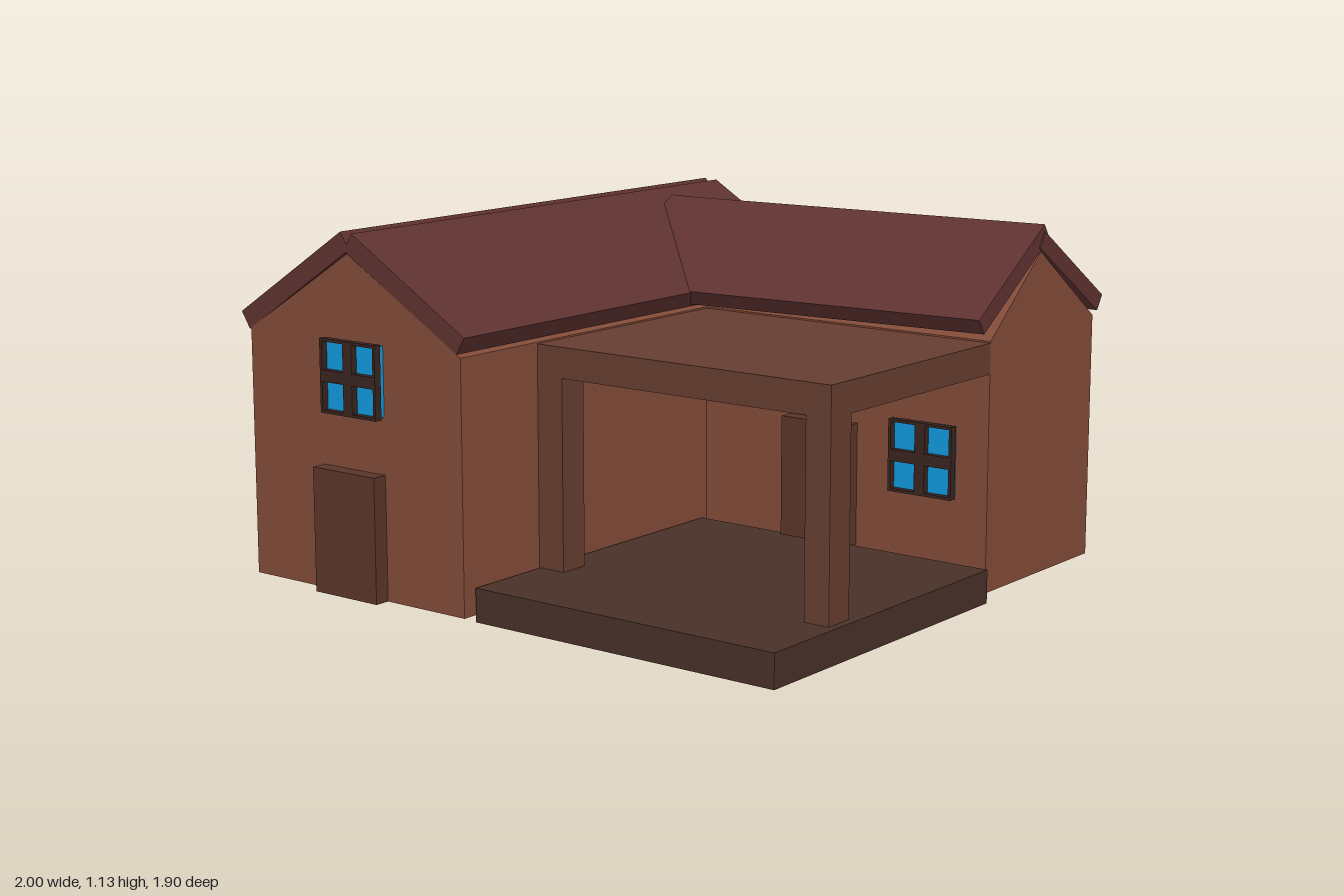
import * as THREE from 'three';

const material = (color) => new THREE.MeshStandardMaterial({ color, flatShading: true });
const WALL = material(0x824b37);
const ROOF = material(0x5e3230);
const TIMBER = material(0x653d30);
const DOOR = material(0x5a3528);
const DARK = material(0x483028);
const FRAME = material(0x38241f);
const GLASS = material(0x1199dd);

export function createModel() {
  const house = new THREE.Group();
  house.name = 'house';

  function add(name, geometry, mat, parent = house) {
    const mesh = new THREE.Mesh(geometry, mat);
    mesh.name = name;
    parent.add(mesh);
    return mesh;
  }

  // Box given by its limits on each axis
  function box(name, mat, [x0, x1], [y0, y1], [z0, z1], parent) {
    const g = new THREE.BoxGeometry(x1 - x0, y1 - y0, z1 - z0);
    g.translate((x0 + x1) / 2, (y0 + y1) / 2, (z0 + z1) / 2);
    return add(name, g, mat, parent);
  }

  const polygon = (pts) => new THREE.Shape(pts.map(([x, y]) => new THREE.Vector2(x, y)));
  const extrude = (shape, depth) => new THREE.ExtrudeGeometry(shape, { depth, bevelEnabled: false });

  // Main wing: gabled block running front to back
  const mainWing = extrude(polygon([
    [-0.96, 0.02], [-0.09, 0.02], [-0.09, 0.8], [-0.54, 1.065], [-0.96, 0.8],
  ]), 1.8);
  mainWing.translate(0, 0, -0.9);
  add('mainWingWalls', mainWing, WALL);

  // Side wing: gabled block running along x (profile drawn in -z, y)
  const sideWing = extrude(polygon([
    [0.28, 0.02], [0.9, 0.02], [0.9, 0.8], [0.565, 1.04], [0.28, 0.8],
  ]), 1.065);
  sideWing.rotateY(Math.PI / 2);
  sideWing.translate(-0.09, 0, 0);
  add('sideWingWalls', sideWing, WALL);

  // Sloping slab: outline holds [along, horizontal distance from ridge]
  function roofSlab(name, outline, slope, thickness, turn, [x, y, z]) {
    const angle = Math.atan(slope);
    const g = extrude(polygon(outline.map(([a, out]) => [a, out / Math.cos(angle)])), thickness);
    g.applyMatrix4(new THREE.Matrix4().makeBasis(
      new THREE.Vector3(1, 0, 0),
      new THREE.Vector3(0, -Math.sin(angle), Math.cos(angle)),
      new THREE.Vector3(0, -Math.cos(angle), -Math.sin(angle)),
    ));
    g.rotateY(turn);
    g.translate(x, y, z);
    add(name, g, ROOF);
  }

  // Main wing roof
  const strip = (w) => [[-0.9, 0], [0.9, 0], [0.9, w], [-0.9, w]];
  roofSlab('mainRoofRight', strip(0.435), 0.65, 0.062, -Math.PI / 2, [-0.565, 1.13, 0]);
  roofSlab('mainRoofLeft', strip(0.445), 0.6, 0.062, Math.PI / 2, [-0.52, 1.127, 0]);

  // Side wing roof, cut diagonally at the valley and slightly askew
  roofSlab('sideRoofFront', [
    [-0.45, 0], [0.98, 0.025 - 0.045], [0.985, 0.36], [-0.1, 0.38], [-0.45, 0.05],
  ], 0.65, 0.055, 0, [0, 1.11, -0.555]);
  roofSlab('sideRoofBack', [
    [0.45, 0], [0.3, 0.185], [0.15, 0.28], [0.1, 0.335], [-0.13, 0.38], [-0.98, 0.395], [-0.985, 0.018],
  ], 0.64, 0.055, Math.PI, [0, 1.112, -0.555]);

  // Porch: floor, flat roof and two front posts
  box('porchFloor', DARK, [-0.085, 1], [0, 0.105], [-0.25, 0.855]);
  box('porchRoof', TIMBER, [-0.09, 0.975], [0.7, 0.795], [-0.28, 0.56]);
  for (const x of [-0.09, 0.89]) {
    box('porchPost', TIMBER, [x, x + 0.085 + (x < 0 ? 0.01 : 0)], [0.1, 0.7], [0.46, 0.56]);
  }

  // Doors
  box('frontDoor', DOOR, [-0.655, -0.4], [0.02, 0.41], [0.88, 0.95]);
  box('porchDoor', DOOR, [0.245, 0.5], [0.1, 0.49], [-0.3, -0.23]);

  // Four-pane window facing +z, with its back at z = 0
  function addWindow(name, size, x, y, z, turn = 0) {
    const group = new THREE.Group();
    group.name = name;
    const h = size / 2, bar = size * 0.08, edge = size * 0.46;
    const frame = polygon([[-h, -h], [h, -h], [h, h], [-h, h]]);
    for (const sx of [-1, 1]) {
      for (const sy of [-1, 1]) {
        frame.holes.push(polygon([
          [sx * bar, sy * bar], [sx * edge, sy * bar], [sx * edge, sy * edge], [sx * bar, sy * edge],
        ]));
      }
    }
    const g = extrude(frame, 0.025);
    g.translate(0, 0, 0.015);
    add('windowFrame', g, FRAME, group);
    box('windowGlass', GLASS, [-edge - 0.003, edge + 0.003], [-edge - 0.003, edge + 0.003], [-0.01, 0.018], group);
    group.position.set(x, y, z);
    group.rotation.y = turn;
    house.add(group);
  }
  addWindow('gableWindow', 0.228, -0.508, 0.695, 0.903);
  addWindow('porchWindow', 0.228, 0.753, 0.415, -0.283);
  addWindow('sideWindow', 0.325, -0.957, 0.35, 0.41, -Math.PI / 2);

  return house;
}
